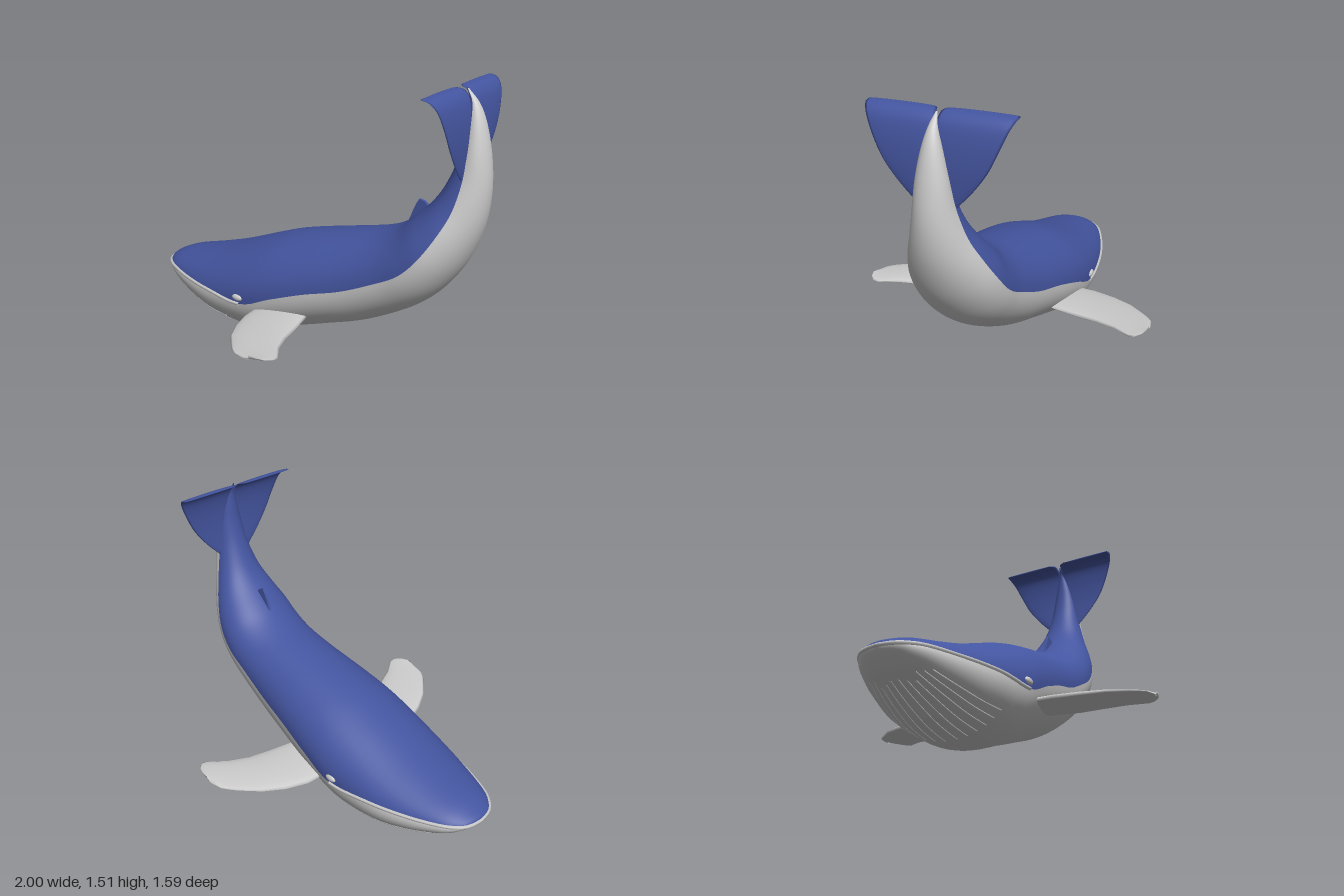
import * as THREE from 'three';
import { mergeVertices } from 'three/addons/utils/BufferGeometryUtils.js';

const V = (x, y, z = 0) => new THREE.Vector3(x, y, z);
const grey = new THREE.MeshStandardMaterial({ color: 0xcccccc, side: THREE.DoubleSide });
const blue = new THREE.MeshStandardMaterial({ color: 0x4455a0, side: THREE.DoubleSide });

// Body sections from nose to tail: back x, y, belly x, y, half width, colour line (0 belly - 1 back)
const SECTIONS = [
  [-0.99, 0.272, -0.99, 0.262, 0.004, 0.5],
  [-0.98, 0.288, -0.975, 0.24, 0.07, 0.55],
  [-0.95, 0.305, -0.94, 0.208, 0.125, 0.61],
  [-0.87, 0.338, -0.87, 0.16, 0.185, 0.61],
  [-0.7, 0.385, -0.7, 0.085, 0.257, 0.6],
  [-0.5, 0.45, -0.5, 0.025, 0.31, 0.56],
  [-0.25, 0.55, -0.25, 0.008, 0.336, 0.45],
  [-0.1, 0.605, 0, 0.09, 0.328, 0.47],
  [0.1, 0.66, 0.2, 0.16, 0.303, 0.49],
  [0.3, 0.71, 0.4, 0.235, 0.275, 0.485],
  [0.45, 0.75, 0.62, 0.355, 0.255, 0.49],
  [0.56, 0.8, 0.76, 0.465, 0.247, 0.47],
  [0.64, 0.87, 0.86, 0.59, 0.23, 0.47],
  [0.72, 0.95, 0.93, 0.72, 0.19, 0.5],
  [0.78, 1.04, 0.98, 0.87, 0.14, 0.52],
  [0.83, 1.16, 1.0, 1.03, 0.1, 0.58],
  [0.86, 1.28, 0.99, 1.19, 0.075, 0.66],
  [0.87, 1.38, 0.96, 1.34, 0.048, 0.65],
  [0.87, 1.46, 0.92, 1.44, 0.022, 0.6],
  [0.85, 1.51, 0.86, 1.508, 0.003, 0.5],
];
const LAST = SECTIONS.length - 1;
const curve = (pts) => new THREE.CatmullRomCurve3(pts, false, 'catmullrom', 0.5);
const backLine = curve(SECTIONS.map((s) => V(s[0], s[1])));
const bellyLine = curve(SECTIONS.map((s) => V(s[2], s[3])));
const sizeLine = curve(SECTIONS.map((s) => V(s[4], s[5])));

// Point on the body at section index i and angle a (0 = left side, PI/2 = back)
function bodyPoint(i, a, grow = 1) {
  const top = backLine.getPoint(i / LAST), low = bellyLine.getPoint(i / LAST);
  const w = sizeLine.getPoint(i / LAST).x;
  const p = top.clone().add(low).multiplyScalar(0.5);
  p.addScaledVector(top.sub(low), 0.5 * grow * Math.sin(a));
  p.z = w * grow * Math.cos(a);
  return p;
}
const seamAngle = (i) => Math.asin(2 * sizeLine.getPoint(i / LAST).y - 1);

// Smooth skin over rows of points
function skin(rows) {
  const n = rows[0].length, index = [];
  for (let i = 0; i < rows.length - 1; i++) {
    for (let j = 0; j < n - 1; j++) {
      const a = i * n + j, b = a + n;
      index.push(a, b, b + 1, a, b + 1, a + 1);
    }
  }
  const g = new THREE.BufferGeometry().setFromPoints(rows.flat());
  g.setIndex(index);
  const merged = mergeVertices(g, 1e-5);
  merged.computeVertexNormals();
  return merged;
}

function add(parent, name, geometry, material) {
  const mesh = new THREE.Mesh(geometry, material);
  mesh.name = name;
  parent.add(mesh);
  return mesh;
}

// Half of the body, from angle a0 to a1 of each section
function bodyShell(range) {
  const rows = [];
  for (let k = 0; k <= LAST * 5; k++) {
    const [a0, a1] = range(seamAngle(k / 5));
    rows.push(Array.from({ length: 33 }, (_, j) => bodyPoint(k / 5, a0 + (a1 - a0) * j / 32)));
  }
  return skin(rows);
}

const tube = (pts, r) => new THREE.TubeGeometry(new THREE.CatmullRomCurve3(pts), 60, r, 6);

// Lens-shaped ring for fins
const ring = (fn) => Array.from({ length: 17 }, (_, j) => {
  const a = (j % 16) / 16 * Math.PI * 2;
  return fn(Math.cos(a), Math.sin(a));
});

// Flipper rows: z, leading x, trailing x, y, half thickness
const FLIPPER = [
  [0.24, -0.17, 0.14, 0.243, 0.024], [0.4, -0.16, 0.175, 0.243, 0.026],
  [0.52, -0.12, 0.2, 0.25, 0.024], [0.63, -0.06, 0.245, 0.262, 0.018],
  [0.72, 0.02, 0.305, 0.273, 0.012], [0.75, 0.05, 0.305, 0.277, 0.01],
  [0.78, 0.09, 0.275, 0.281, 0.008], [0.795, 0.15, 0.23, 0.284, 0.004],
  [0.795, 0.19, 0.19, 0.284, 0],
];
function flipper(s) {
  return skin(FLIPPER.map(([z, x0, x1, y, t]) => ring((c, d) =>
    V((x0 + x1) / 2 + (x1 - x0) / 2 * c, y + 0.012 * c - s * t * d, s * z))));
}

// Fluke rows: x, y, inner z, outer z; the blade curls forward at its top
const FLUKE = [
  [0.89, 1.08, 0.0, 0.08], [0.897, 1.18, 0.0, 0.175], [0.9, 1.28, 0.0, 0.25],
  [0.893, 1.38, 0.0, 0.3], [0.875, 1.46, 0.005, 0.335], [0.845, 1.5, 0.01, 0.355],
  [0.815, 1.51, 0.02, 0.36], [0.8, 1.512, 0.05, 0.35],
];
function fluke(s) {
  const path = curve(FLUKE.map((f) => V(f[0], f[1])));
  const span = curve(FLUKE.map((f) => V(f[2], f[3])));
  const rows = [];
  for (let k = 0; k <= 28; k++) {
    const p = path.getPoint(k / 28), t = path.getTangent(k / 28), e = span.getPoint(k / 28);
    const thick = k === 0 || k === 28 ? 0 : 0.008 - 0.004 * k / 28;
    rows.push(ring((c, d) => V(p.x - s * thick * d * t.y, p.y + s * thick * d * t.x,
      s * ((e.x + e.y) / 2 + (e.y - e.x) / 2 * c))));
  }
  return skin(rows);
}

export function createModel() {
  const whale = new THREE.Group();
  whale.name = 'whale';

  // Body
  add(whale, 'back', bodyShell((a) => [a, Math.PI - a]), blue);
  add(whale, 'belly', bodyShell((a) => [-Math.PI - a, a]), grey);

  // Lip running round the nose
  const lip = [];
  for (let k = -24; k <= 24; k++) {
    const i = Math.abs(k) / 4, a = seamAngle(i);
    lip.push(bodyPoint(i, k < 0 ? Math.PI - a : a));
  }
  add(whale, 'lip', tube(lip, 0.01), grey);

  // Throat grooves
  const grooves = new THREE.Group();
  grooves.name = 'throatGrooves';
  whale.add(grooves);
  for (const s of [1, -1]) {
    for (let g = 0; g < 6; g++) {
      const a = -Math.PI / 2 + s * (0.1 + g * 0.17), start = 3.1 + 0.12 * (g % 3);
      const pts = Array.from({ length: 9 }, (_, j) => bodyPoint(start + (5.4 - start) * j / 8, a, 0.998));
      add(grooves, 'groove', tube(pts, 0.004), grey);
    }
  }

  // Paired parts
  for (const s of [1, -1]) {
    const side = s > 0 ? 'near' : 'far';
    add(whale, side + 'Flipper', flipper(s), grey);
    add(whale, side + 'Fluke', fluke(s), blue);
    const eye = add(whale, side + 'Eye', new THREE.SphereGeometry(1, 16, 12), grey);
    eye.scale.set(0.035, 0.018, 0.014);
    eye.position.set(-0.26, 0.287, s * 0.333);
  }

  // Small dorsal fin
  const fin = new THREE.Shape();
  fin.moveTo(0.57, 0.78);
  fin.lineTo(0.6, 0.85);
  fin.quadraticCurveTo(0.62, 0.91, 0.64, 0.938);
  fin.lineTo(0.67, 0.93);
  fin.lineTo(0.685, 0.915);
  fin.lineTo(0.7, 0.88);
  const finGeometry = new THREE.ExtrudeGeometry(fin, { depth: 0.016, bevelEnabled: false });
  finGeometry.translate(0, 0, -0.008);
  add(whale, 'dorsalFin', finGeometry, blue);

  return whale;
}
